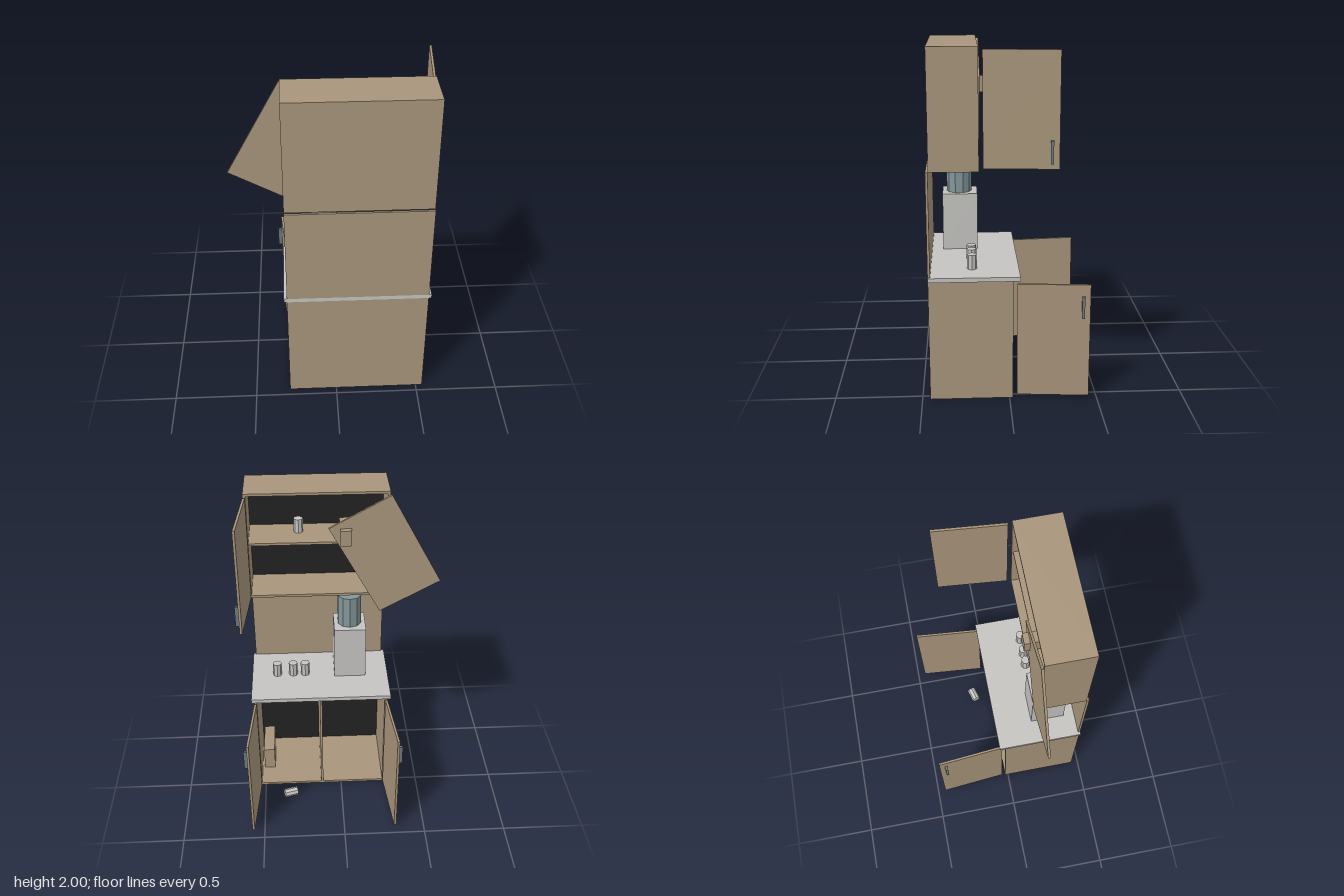
import * as THREE from 'three';

const material = (name, color, extra = {}) => {
  const m = new THREE.MeshStandardMaterial({ color, ...extra });
  m.name = name;
  return m;
};

export function createModel() {
  const wood = material('wood', 0xa8957b);
  const stone = material('light grey', 0xc5c4c1);
  const steel = material('blue grey metal', 0x82979a);
  const handleMetal = material('dark handle metal', 0x6c7a80);
  const dark = material('dark lining', 0x222222);

  const root = new THREE.Group();
  root.name = 'kitchenette';

  const group = (name, parent = root) => {
    const g = new THREE.Group();
    g.name = name;
    parent.add(g);
    return g;
  };
  // Box given by its limits on each axis
  const box = (name, mat, [x0, x1], [y0, y1], [z0, z1], parent = root) => {
    const m = new THREE.Mesh(new THREE.BoxGeometry(x1 - x0, y1 - y0, z1 - z0), mat);
    m.name = name;
    m.position.set((x0 + x1) / 2, (y0 + y1) / 2, (z0 + z1) / 2);
    parent.add(m);
    return m;
  };
  // Faceted upright cylinder standing on y
  const drum = (name, mat, r, h, sides, x, y, z) => {
    const geo = new THREE.CylinderGeometry(r, r, h, sides).toNonIndexed();
    geo.computeVertexNormals();
    const m = new THREE.Mesh(geo, mat);
    m.name = name;
    m.position.set(x, y + h / 2, z);
    root.add(m);
    return m;
  };

  const X0 = -0.29, X1 = 0.54, T = 0.015, MID = (X0 + X1) / 2;

  // Open-fronted carcass with a dark lined back; the opening faces -z
  const carcass = (name, [y0, y1], [z0, z1]) => {
    const g = group(name);
    box('leftSide', wood, [X1 - T, X1], [y0, y1], [z0, z1], g);
    box('rightSide', wood, [X0, X0 + T], [y0, y1], [z0, z1], g);
    box('floorPanel', wood, [X0 + T, X1 - T], [y0, y0 + T], [z0, z1], g);
    box('topPanel', wood, [X0 + T, X1 - T], [y1 - T, y1], [z0, z1], g);
    box('backPanel', wood, [X0 + T, X1 - T], [y0 + T, y1 - T], [z1 - 0.01, z1], g);
    box('backLining', dark, [X0 + T, X1 - T], [y0 + T, y1 - T], [z1 - 0.014, z1 - 0.01], g);
    return g;
  };
  const lower = carcass('lowerCabinet', [0, 0.715], [-0.02, 0.455]);
  box('divider', wood, [MID - 0.007, MID + 0.007], [T, 0.7], [-0.02, 0.441], lower);
  const upper = carcass('upperCabinet', [1.335, 2], [0.167, 0.44]);
  box('shelf', wood, [X0 + T, X1 - T], [1.675, 1.69], [0.175, 0.426], upper);

  // Worktop, back wall and lamp strip below the upper cabinet
  box('countertop', stone, [-0.308, 0.556], [0.715, 0.74], [-0.06, 0.456]);
  box('backsplash', wood, [X0, X1], [0.74, 1.333], [0.442, 0.456]);
  box('lampStrip', steel, [-0.21, 0.46], [1.322, 1.335], [0.375, 0.42]);

  // Open doors: side is 1 for +x and -1 for -x
  const door = (name, side, [y0, y1], z, handleY) => {
    const g = group(name);
    const h = y1 - y0;
    g.position.set(MID + side * 0.426, (y0 + y1) / 2, z);
    g.rotation.y = -side * 0.087;
    box('doorPanel', wood, [-0.007, 0.007], [-h / 2, h / 2], [-0.205, 0.205], g);
    const handle = box('doorHandle', handleMetal, [0, 0.025], [-0.0625, 0.0625], [-0.008, 0.008], g);
    handle.position.set(side * 0.0195, handleY - g.position.y, -0.165);
  };
  door('lowerLeftDoor', 1, [0.02, 0.693], -0.247, 0.563);
  door('lowerRightDoor', -1, [0.02, 0.693], -0.247, 0.563);
  door('upperLeftDoor', 1, [1.353, 1.985], -0.06, 1.448);

  // Upper door hanging askew
  const hanging = box('hangingDoor', wood, [-0.205, 0.205], [-0.316, 0.316], [-0.0072, 0.0072]);
  hanging.position.set(-0.27, 1.608, 0.1555);
  hanging.rotation.z = -0.503;

  // Appliance on the worktop
  box('applianceBase', stone, [-0.165, 0.031], [0.74, 1.085], [0.167, 0.375]);
  drum('applianceJug', steel, 0.075, 0.2, 10, -0.067, 1.085, 0.275);

  // Cans and boxes
  for (const x of [0.395, 0.294, 0.218]) drum('counterCan', stone, 0.028, 0.085, 8, x, 0.74, 0.208);
  drum('shelfCan', stone, 0.028, 0.085, 8, 0.234, 1.69, 0.325);
  const fallen = drum('fallenCan', stone, 0.028, 0.085, 8, 0.333, 0, -0.13);
  fallen.position.y = 0.028;
  fallen.rotation.set(0, 0.28, -Math.PI / 2);
  box('shelfBox', wood, [-0.07, -0.005], [1.69, 1.785], [0.115, 0.3]);
  box('storedBox', wood, [0.439, 0.509], [0.015, 0.17], [0.134, 0.384]);

  return root;
}
